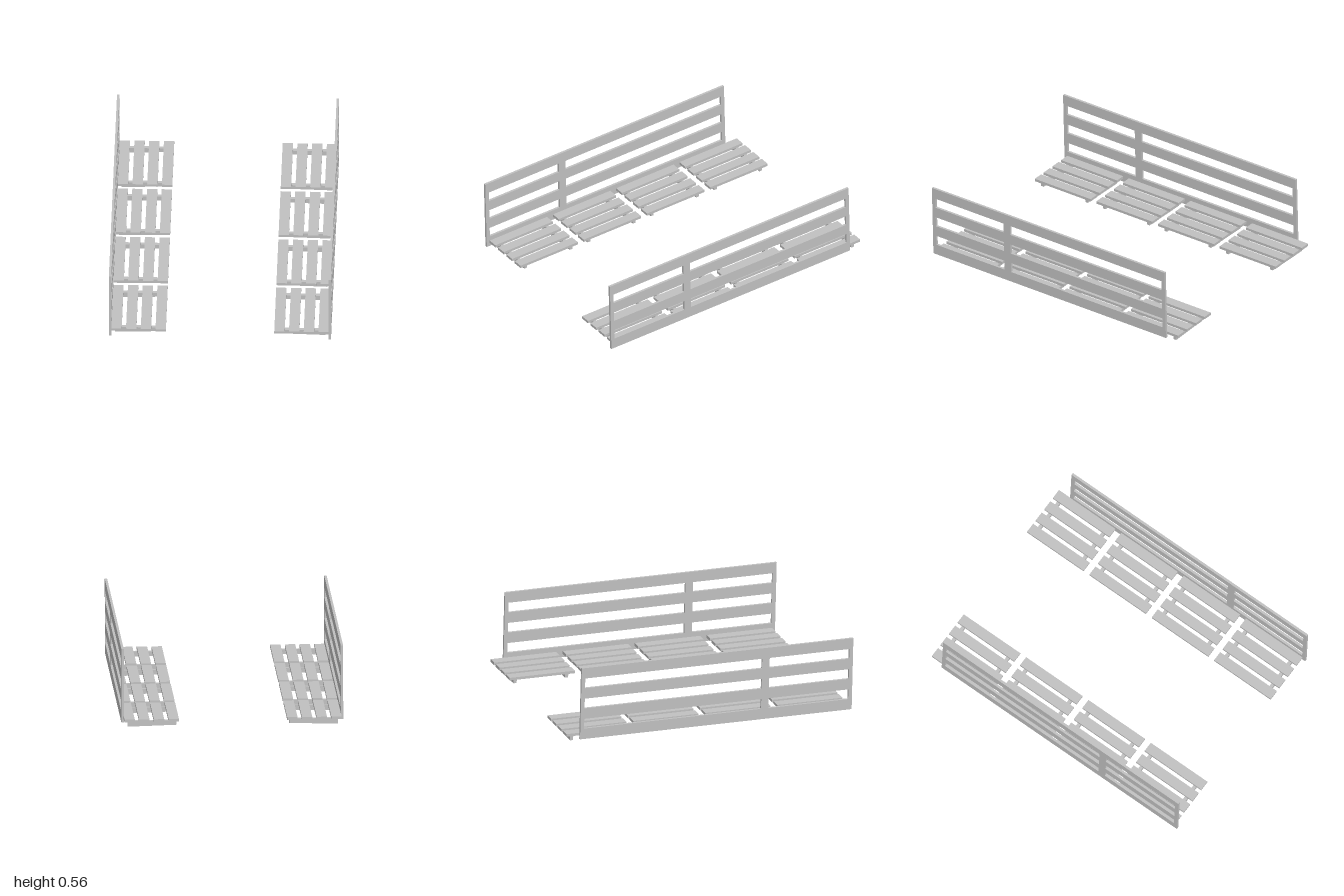
import * as THREE from 'three';

const SLOPE = 0.0255; // the whole ramp rises gently toward the back

// Side railing: one board outline with rectangular openings
function railingGeometry() {
  const z0 = -0.912, z1 = 0.986, y0 = 0.038, y1 = 0.5355;
  const board = 0.073, pitch = (y1 - y0 - board) / 3, endPost = 0.026;
  const rect = (target, a, b, c, d) => {
    target.moveTo(a, b).lineTo(c, b).lineTo(c, d).lineTo(a, d).closePath();
    return target;
  };
  const shape = rect(new THREE.Shape(), z0, y0, z1, y1);
  for (let i = 0; i < 3; i++) {
    const bottom = y0 + board + i * pitch;
    const top = y0 + (i + 1) * pitch;
    for (const [a, b] of [[z0 + endPost, 0.351], [0.403, z1 - endPost]]) {
      shape.holes.push(rect(new THREE.Path(), a, bottom, b, top));
    }
  }
  const geometry = new THREE.ExtrudeGeometry(shape, { depth: 0.016, bevelEnabled: false });
  geometry.rotateY(-Math.PI / 2);
  geometry.translate(0.008, 0, 0);
  return geometry;
}

// Cross beam whose underside rises slightly toward the inner end
function beamGeometry(side) {
  const shape = new THREE.Shape([
    [0.37, 0.032], [0.69, 0.0235], [0.69, 0.0615], [0.37, 0.0615],
  ].map(([x, y]) => new THREE.Vector2(side * x, y)));
  const geometry = new THREE.ExtrudeGeometry(shape, { depth: 0.022, bevelEnabled: false });
  geometry.translate(0, 0, -0.011);
  return geometry;
}

export function createModel() {
  const model = new THREE.Group();
  model.name = 'slattedRamps';
  const grey = new THREE.MeshStandardMaterial({ color: 0xc0c0c0 });
  grey.name = 'grey';

  const railing = railingGeometry();
  const slat = new THREE.BoxGeometry(0.068, 0.018, 0.456);

  for (const side of [1, -1]) {
    const ramp = new THREE.Group();
    ramp.name = side > 0 ? 'leftRamp' : 'rightRamp';
    ramp.rotation.x = SLOPE;
    model.add(ramp);

    const add = (parent, geometry, name, x, y, z) => {
      const mesh = new THREE.Mesh(geometry, grey);
      mesh.name = name;
      mesh.position.set(x, y, z);
      parent.add(mesh);
    };

    add(ramp, railing, 'railing', side * 0.7195, 0, 0);

    // Four separate slatted floor panels, each on two beams
    const beam = beamGeometry(side);
    for (let p = 0; p < 4; p++) {
      const panel = new THREE.Group();
      panel.name = 'floorPanel';
      panel.position.z = -0.774 + p * 0.503;
      ramp.add(panel);
      for (let i = 0; i < 4; i++) {
        add(panel, slat, 'slat', side * (0.389 + i * 0.0965), 0.0705, 0);
      }
      for (const z of [-0.183, 0.177]) add(panel, beam, 'crossBeam', 0, 0, z);
    }
  }
  return model;
}
